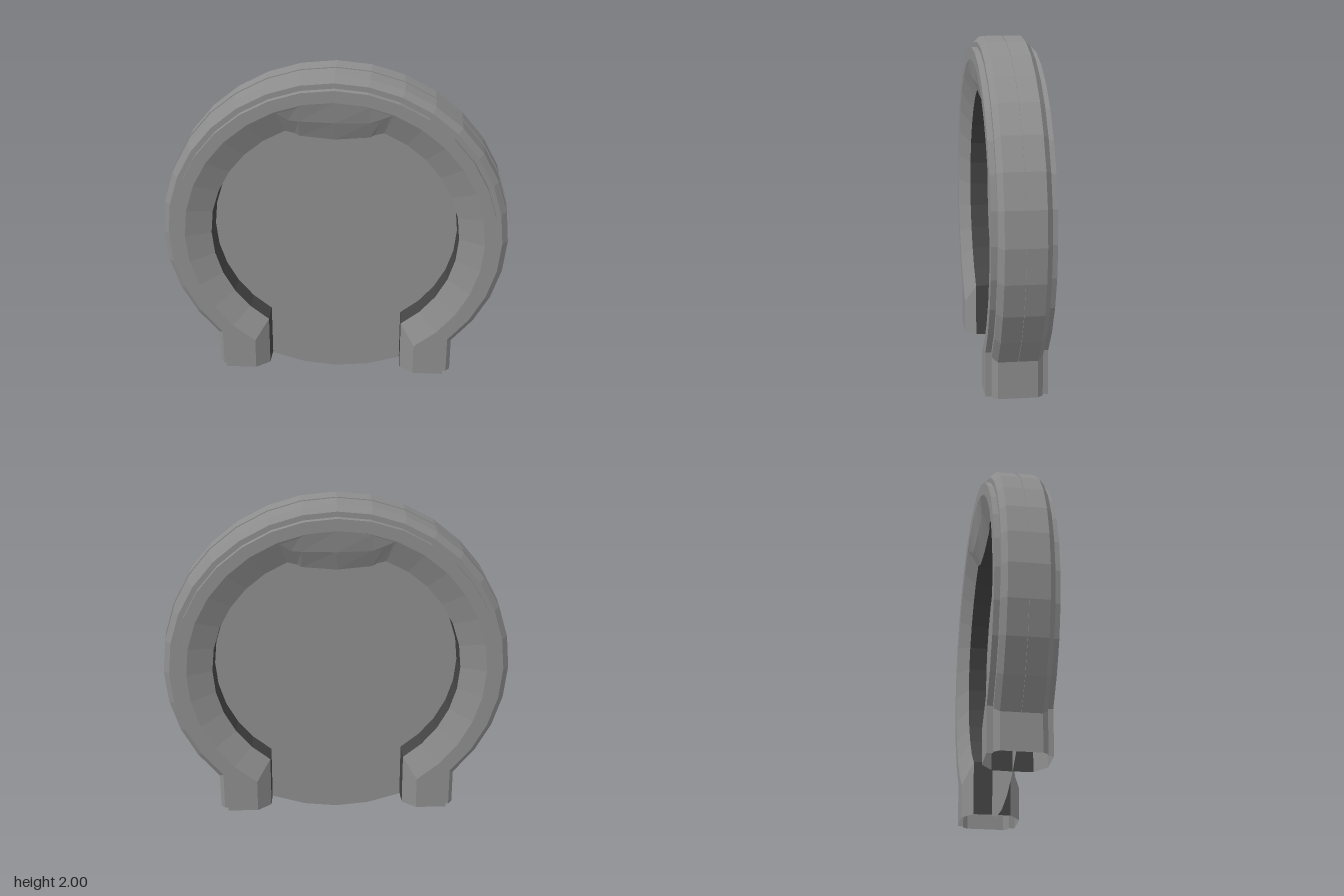
import * as THREE from 'three';

const makeGrey = (name, color) => {
  const m = new THREE.MeshStandardMaterial({ color, side: THREE.DoubleSide, flatShading: true });
  m.name = name;
  return m;
};
const stone = makeGrey('stone grey', 0x8e8e8e);
const dark = makeGrey('dark grey', 0x444444);

// Skin a list of open cross-sections with faceted triangles, skipping collapsed ones.
function skin(sections) {
  const out = [];
  const tri = (a, b, c) => {
    const n = b.clone().sub(a).cross(c.clone().sub(a));
    if (n.length() > 1e-8) for (const p of [a, b, c]) out.push(p.x, p.y, p.z);
  };
  for (let i = 0; i < sections.length - 1; i++) {
    const s = sections[i], t = sections[i + 1];
    for (let j = 0; j < s.length - 1; j++) {
      tri(s[j], s[j + 1], t[j]);
      tri(s[j + 1], t[j + 1], t[j]);
    }
  }
  const g = new THREE.BufferGeometry();
  g.setAttribute('position', new THREE.Float32BufferAttribute(out, 3));
  g.computeVertexNormals();
  return g;
}

export function createModel() {
  const model = new THREE.Group();
  model.name = 'ringGate';
  const add = (name, geometry, material) => {
    const mesh = new THREE.Mesh(geometry, material);
    mesh.name = name;
    model.add(mesh);
    return mesh;
  };

  // Profiles: radius, depth, and the 1/32-turn step where the arc becomes a foot
  const half = [
    [0.715, 0.11, 3], [0.86, 0.172, 3], [0.93, 0.172, 4],
    [0.93, 0.14, 4], [0.96, 0.14, 4], [0.993, 0.11, 4],
  ];
  const shell = [...half, ...half.map(([r, z, k]) => [r, -z, k]).reverse()];
  const lining = [[0.715, -0.11, 3], [0.706, 0, 3], [0.715, 0.11, 3]];
  const at = (profile, step) => profile.map(([r, z, k]) => {
    const a = THREE.MathUtils.clamp(step, k, 32 - k) * Math.PI / 16;
    return new THREE.Vector3(r * Math.sin(a), 1 - r * Math.cos(a), z);
  });
  const foot = (profile, step) => at(profile, step).map((p) => p.setY(0.088));

  // Arch and straight hollow feet: grey shell, dark inner lining
  for (const [part, profile, material] of [['', shell, stone], ['Lining', lining, dark]]) {
    const arch = [];
    for (let s = 3; s <= 29; s++) arch.push(at(profile, s));
    add('archRing' + part, skin(arch), material);
    add('leftFoot' + part, skin([foot(profile, 3), at(profile, 3)]), material);
    add('rightFoot' + part, skin([at(profile, 29), foot(profile, 29)]), material);
  }

  // Keystone: front points of each column from the outer end to the middle
  const columns = [
    [[0.33, 1.8, 0.172], [0.325, 1.79, 0.167], [0.272, 1.66, 0.11]],
    [[0.329, 1.8, 0.172], [0.25, 1.74, 0.148], [0.22, 1.645, 0.105]],
    [[0.195, 1.84, 0.172], [0.195, 1.735, 0.148], [0.195, 1.63, 0.105]],
    [[0, 1.86, 0.172], [0, 1.73, 0.148], [0, 1.612, 0.105]],
  ];
  // Mirror the columns across x, mapping each through a row rule
  const across = (rule) => skin([
    ...columns.map((c) => rule(c, -1)),
    ...columns.slice(0, 3).reverse().map((c) => rule(c, 1)),
  ]);
  const point = (side, [x, y, z], depth) => new THREE.Vector3(side * x, y, depth * z);
  add('keystoneFront', across((c, s) => c.map((p) => point(s, p, 1))), stone);
  add('keystoneBack', across((c, s) => c.map((p) => point(s, p, -1)).reverse()), stone);
  add('keystoneLining', across((c, s) => [
    point(s, c[2], 1), point(s, c[2], 0).add(new THREE.Vector3(0, -0.012, 0)), point(s, c[2], -1),
  ]), dark);

  // Thin sheet filling the gate
  add('portalDisc', new THREE.CircleGeometry(0.999, 32, Math.PI / 2), stone).position.y = 0.999;

  return model;
}
